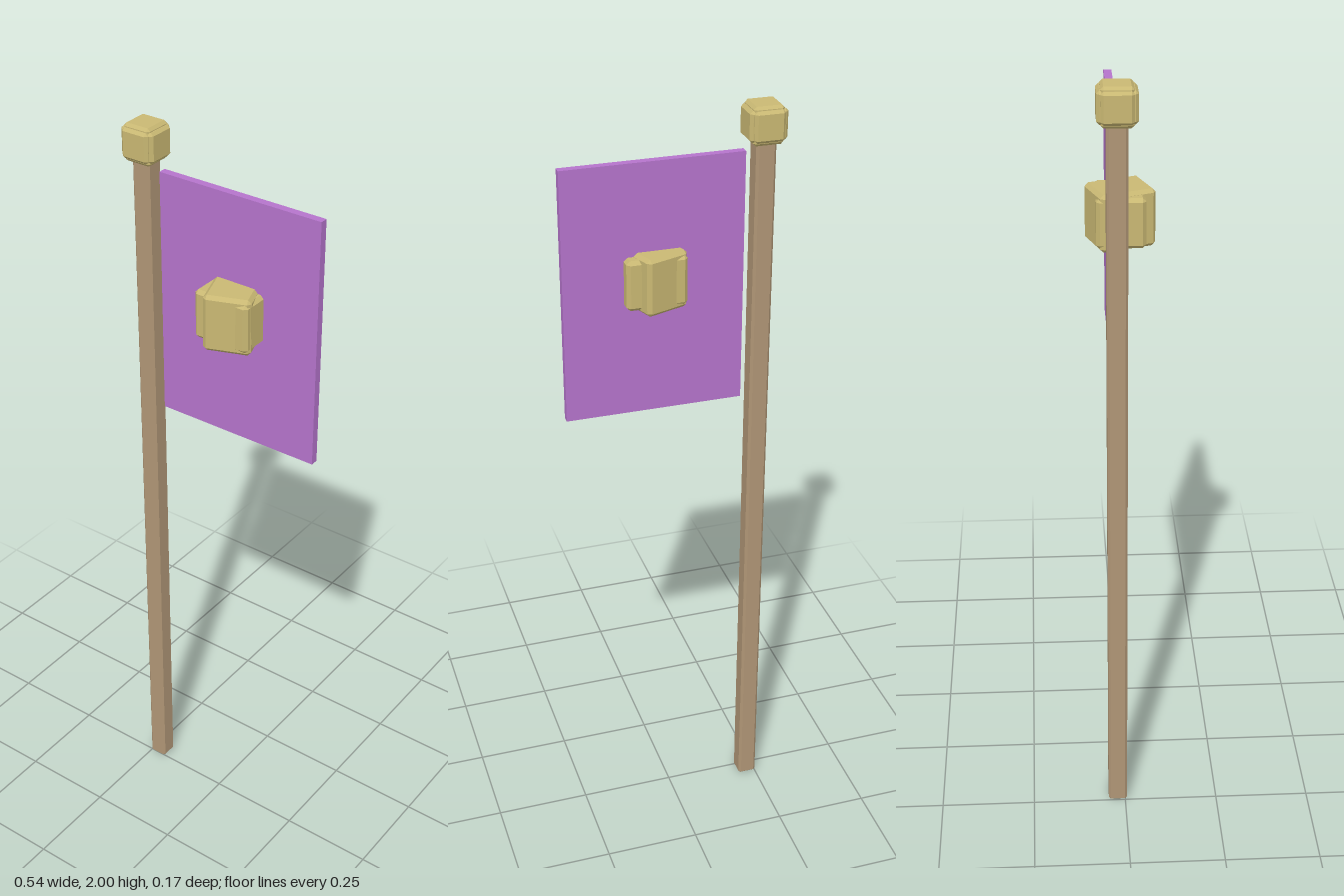
import * as THREE from 'three';
import { ConvexGeometry } from 'three/addons/geometries/ConvexGeometry.js';

// Box with flat chamfers of width b on all edges
function chamferBox(w, h, d, b) {
  const points = [];
  for (const x of [-1, 1]) for (const y of [-1, 1]) for (const z of [-1, 1])
    for (let axis = 0; axis < 3; axis++) {
      const inset = [b, b, b];
      inset[axis] = 0;
      points.push(new THREE.Vector3(
        x * (w / 2 - inset[0]), y * (h / 2 - inset[1]), z * (d / 2 - inset[2])));
    }
  return new ConvexGeometry(points);
}

export function createModel() {
  const material = (name, color) => {
    const m = new THREE.MeshStandardMaterial({ color, flatShading: true });
    m.name = name;
    return m;
  };
  const wood = material('wood', 0xb09676);
  const cloth = material('purple cloth', 0xb574cc);
  const gold = material('gold', 0xc9b873);

  const model = new THREE.Group();
  model.name = 'flagpole';
  const add = (parent, name, geometry, mat, x = 0, y = 0, z = 0) => {
    const mesh = new THREE.Mesh(geometry, mat);
    mesh.name = name;
    mesh.position.set(x, y, z);
    parent.add(mesh);
    return mesh;
  };

  // Square pole with slightly chamfered edges
  add(model, 'pole', chamferBox(0.05, 1.92, 0.05, 0.006), wood, -0.226, 0.96, -0.02);

  // Hanging flag
  add(model, 'flag', new THREE.BoxGeometry(0.452, 0.645, 0.02), cloth, 0.046, 1.5675, -0.02);

  // Finial: three crossed chamfered blocks, one along each axis
  const finial = new THREE.Group();
  finial.name = 'finial';
  finial.position.set(-0.226, 1.953, -0.02);
  model.add(finial);
  for (let axis = 0; axis < 3; axis++) {
    const size = [0.076, 0.076, 0.076];
    size[axis] = 0.094;
    add(finial, 'finialBlock' + 'XYZ'[axis], chamferBox(...size, 0.007), gold);
  }

  // Emblem: a straight block crossed by a turned one, showing on both sides of the flag
  const emblem = new THREE.Group();
  emblem.name = 'emblem';
  emblem.position.set(0.045, 1.595, 0);
  model.add(emblem);
  add(emblem, 'emblemStraightBlock', chamferBox(0.152, 0.128, 0.122, 0.009), gold);
  add(emblem, 'emblemTurnedBlock', chamferBox(0.118, 0.147, 0.146, 0.009), gold)
    .rotation.y = THREE.MathUtils.degToRad(20);

  return model;
}
